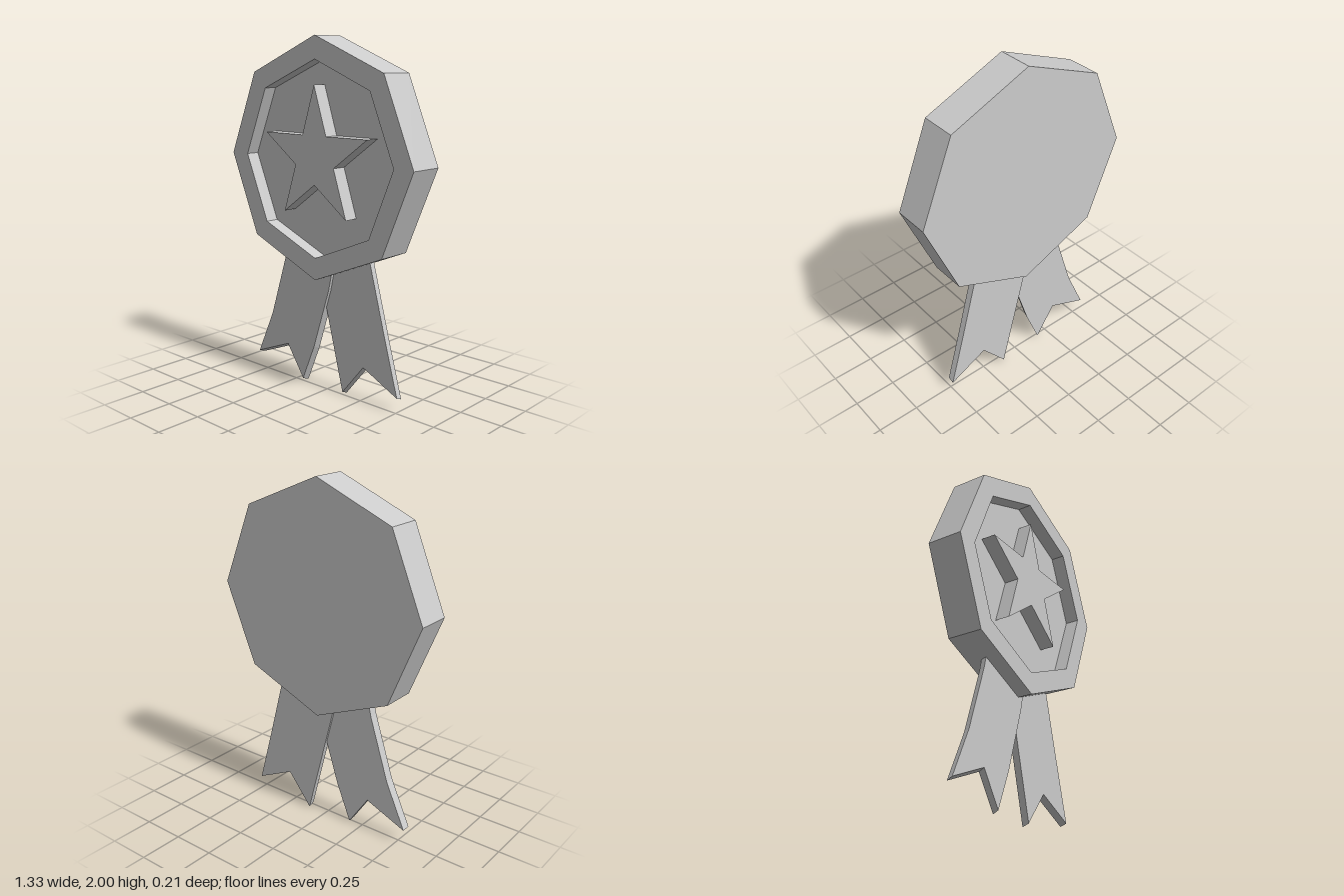
import * as THREE from 'three';

const material = new THREE.MeshStandardMaterial({ color: 0xcccccc, flatShading: true });

function addMesh(group, name, geometry) {
  const mesh = new THREE.Mesh(geometry, material);
  mesh.name = name;
  group.add(mesh);
  return mesh;
}

// Extrudes an outline from zBack to zFront
function slab(points, zBack, zFront) {
  const shape = new THREE.Shape(points.map(([x, y]) => new THREE.Vector2(x, y)));
  const geometry = new THREE.ExtrudeGeometry(shape, { depth: zFront - zBack, bevelEnabled: false });
  return geometry.translate(0, 0, zBack);
}

// Ribbon tail whose back face is slid by (dx, dy), so its cut edges slant
function ribbon(points, zBack, zFront, dx, dy) {
  const geometry = slab(points, zBack, zFront);
  const p = geometry.attributes.position;
  for (let i = 0; i < p.count; i++) {
    const t = (zFront - p.getZ(i)) / (zFront - zBack);
    p.setXY(i, p.getX(i) + dx * t, p.getY(i) + dy * t);
  }
  geometry.computeVertexNormals();
  return geometry;
}

export function createModel() {
  const group = new THREE.Group();
  group.name = 'awardRosette';

  // Octagonal medal with a raised rim and recessed face
  const profile = [
    [0, -0.105], [0.665, -0.105], [0.665, 0.1],
    [0.54, 0.1], [0.54, 0.02], [0, 0.02],
  ].map(([r, h]) => new THREE.Vector2(r, h));
  const medal = new THREE.LatheGeometry(profile, 8).rotateX(Math.PI / 2);
  addMesh(group, 'medal', medal).position.y = 1.335;

  // Five-pointed star standing on the recessed face
  const star = [];
  for (let i = 0; i < 10; i++) {
    const r = i % 2 ? 0.148 : 0.39;
    const a = Math.PI / 2 + (i * Math.PI) / 5;
    star.push([r * Math.cos(a), r * Math.sin(a)]);
  }
  addMesh(group, 'star', slab(star, 0.01, 0.105)).position.y = 1.351;

  // Front tail, gently curved
  addMesh(group, 'rightRibbon', ribbon([
    [-0.28, 0.9], [-0.32, 0.73], [-0.435, 0.37], [-0.555, 0.105], [-0.305, 0.207], [-0.18, 0.022],
    [-0.09, 0.24], [-0.01, 0.49], [0.025, 0.6], [0.045, 0.69], [0.07, 0.9],
  ], -0.022, 0.015, 0.008, -0.014));

  // Rear tail, straighter
  addMesh(group, 'leftRibbon', ribbon([
    [-0.11, 0.9], [-0.06, 0.7], [-0.003, 0.48], [0.118, 0.014], [0.27, 0.2],
    [0.508, 0.086], [0.415, 0.42], [0.31, 0.81], [0.288, 0.9],
  ], -0.037, 0.001, 0, -0.014));

  return group;
}
